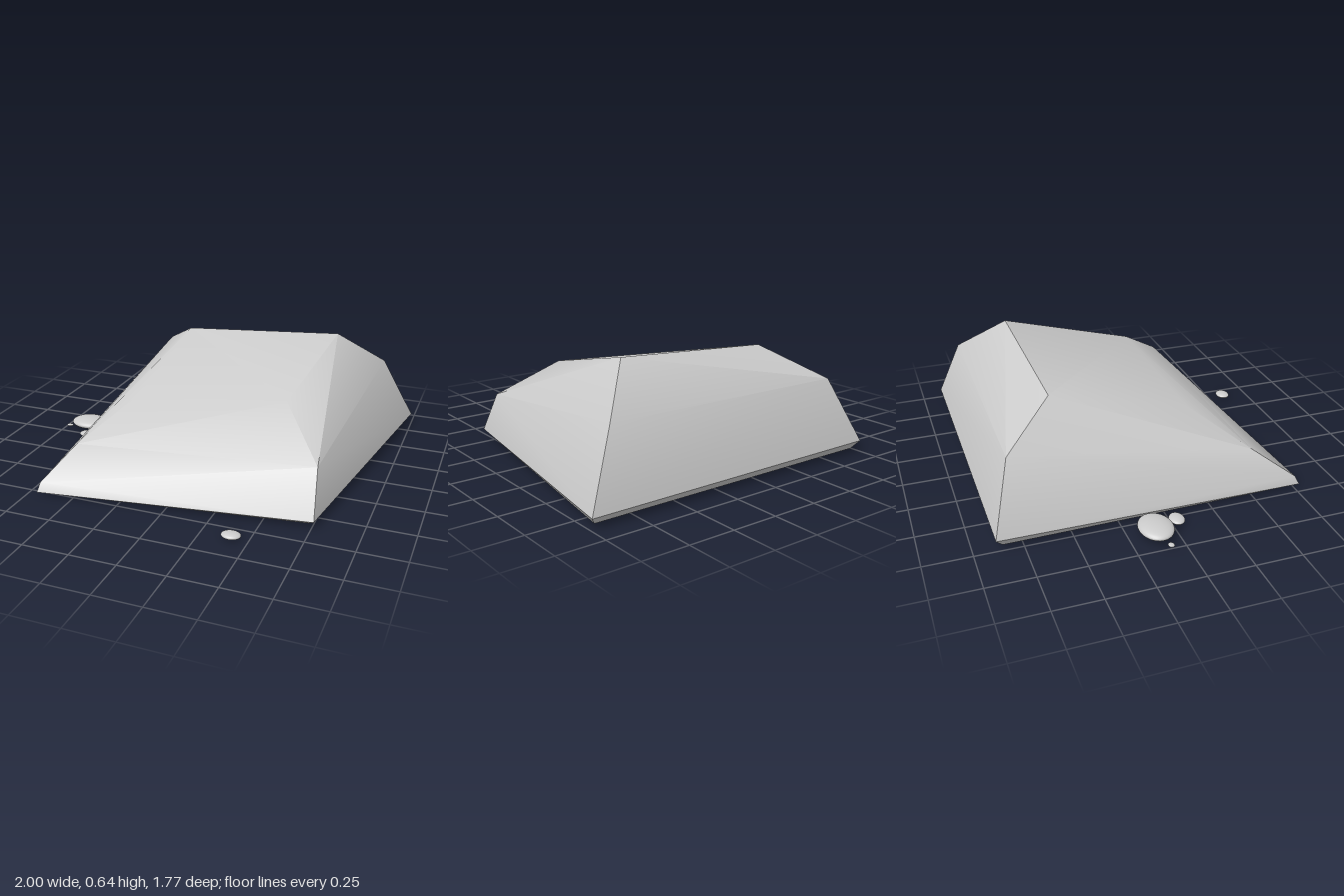
import * as THREE from 'three';
import { toCreasedNormals } from 'three/addons/utils/BufferGeometryUtils.js';

const material = new THREE.MeshStandardMaterial({ color: 0xcccccc });

// Four-cornered slices, bottom to top: back left, back right, front right, front left
const rings = [
  [[-0.72, 0.012, -0.85], [0.96, 0.012, -0.85], [0.73, 0.012, 0.59], [-0.70, 0.012, 0.785]],
  [[-0.752, 0.06, -0.888], [0.995, 0.055, -0.888], [0.76, 0.035, 0.615], [-0.69, 0.06, 0.76]],
  [[-0.585, 0.415, -0.782], [0.82, 0.425, -0.775], [0.735, 0.27, 0.48], [-0.58, 0.21, 0.545]],
  [[-0.335, 0.585, -0.50], [0.58, 0.645, -0.52], [0.49, 0.48, 0.205], [-0.35, 0.412, 0.25]],
].map(ring => ring.map(p => new THREE.Vector3(...p)));

// Slab-like boulder: the slices are skinned with quads and capped at both ends
function boulderGeometry() {
  const points = [];
  const quad = (a, b, c, d) => {
    // Split along the diagonal that bulges outwards
    const normal = c.clone().sub(a).cross(d.clone().sub(b));
    const lift = a.clone().add(c).sub(b).sub(d).dot(normal);
    points.push(...(lift >= 0 ? [a, b, c, a, c, d] : [a, b, d, b, c, d]));
  };
  for (let r = 0; r < rings.length - 1; r++) {
    for (let i = 0; i < 4; i++) {
      const j = (i + 1) % 4;
      quad(rings[r][i], rings[r + 1][i], rings[r + 1][j], rings[r][j]);
    }
  }
  const [b0, b1, b2, b3] = rings[0];
  quad(b0, b1, b2, b3);
  const [t0, t1, t2, t3] = rings[3];
  quad(t3, t2, t1, t0);
  const geometry = new THREE.BufferGeometry().setFromPoints(points);
  return toCreasedNormals(geometry, THREE.MathUtils.degToRad(37));
}

export function createModel() {
  const group = new THREE.Group();
  group.name = 'rockGroup';

  const boulder = new THREE.Mesh(boulderGeometry(), material);
  boulder.name = 'boulder';
  group.add(boulder);

  // Flattened pebbles around the base: centre, then radii
  const pebbles = [
    [-0.853, 0.036, -0.105, 0.115, 0.031, 0.09],
    [-0.798, 0.019, 0.03, 0.053, 0.016, 0.04],
    [-0.98, 0.007, -0.072, 0.02, 0.007, 0.016],
    [0.41, 0.018, 0.84, 0.051, 0.016, 0.04],
  ];
  const sphere = new THREE.SphereGeometry(1, 32, 16);
  pebbles.forEach(([x, y, z, rx, ry, rz], i) => {
    const pebble = new THREE.Mesh(sphere, material);
    pebble.name = `pebble${i + 1}`;
    pebble.position.set(x, y, z);
    pebble.scale.set(rx, ry, rz);
    group.add(pebble);
  });
  return group;
}
